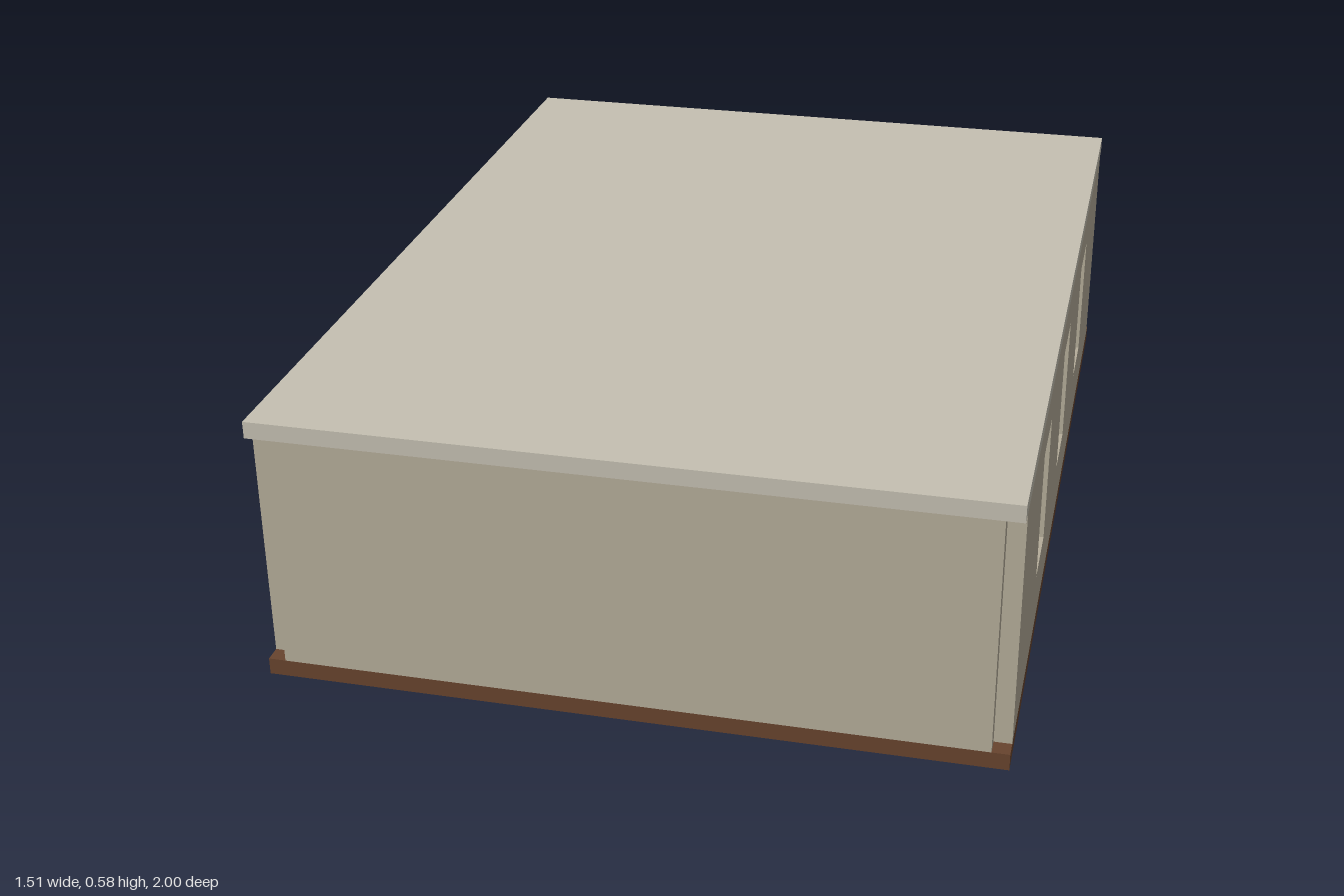
import * as THREE from 'three';

const W = 0.757, L = 1.0;            // half width and half length of the slabs
const T = 0.036;                     // wall and slab thickness
const Y0 = 0.036, Y1 = 0.544, TOP = 0.58;
const WIN = { w: 0.166, y0: 0.173, y1: 0.458, rail: 0.358, z: [-0.482, 0, 0.484] };

const material = (color) => new THREE.MeshStandardMaterial({ color });

function box(name, mat, w, h, d, x, y, z) {
  const mesh = new THREE.Mesh(new THREE.BoxGeometry(w, h, d), mat);
  mesh.name = name;
  mesh.position.set(x, y, z);
  return mesh;
}

// Rectangle from corner (x0, y0) to (x1, y1)
function rect(Type, x0, y0, x1, y1) {
  const p = new Type();
  p.moveTo(x0, y0);
  p.lineTo(x1, y0);
  p.lineTo(x1, y1);
  p.lineTo(x0, y1);
  p.closePath();
  return p;
}

// Long wall with window openings; its outer face is at x = W
function windowWall(mat) {
  const shape = rect(THREE.Shape, -L + T, Y0, L - T, Y1);
  for (const z of WIN.z) {
    shape.holes.push(rect(THREE.Path, -z - WIN.w / 2, WIN.y0, -z + WIN.w / 2, WIN.y1));
  }
  const geo = new THREE.ExtrudeGeometry(shape, { depth: T, bevelEnabled: false });
  geo.rotateY(Math.PI / 2);
  geo.translate(W - T, 0, 0);
  const mesh = new THREE.Mesh(geo, mat);
  mesh.name = 'windowWall';
  return mesh;
}

// Slim frame with a centre mullion and a transom, set at the inner face of the wall
function windowFrame(mat, z) {
  const g = new THREE.Group();
  g.name = 'windowFrame';
  const b = 0.007, d = 0.02, x = W - T - 0.006;
  const h = WIN.y1 - WIN.y0, cy = (WIN.y0 + WIN.y1) / 2;
  for (const s of [-1, 1]) {
    g.add(box('frameJamb', mat, d, h, b, x, cy, z + s * (WIN.w - b) / 2));
    g.add(box('frameRail', mat, d, b, WIN.w, x, cy + s * (h - b) / 2, z));
  }
  g.add(box('mullion', mat, d * 0.8, h, 0.006, x, cy, z));
  g.add(box('transom', mat, d * 0.8, 0.006, WIN.w, x, WIN.rail, z));
  return g;
}

export function createModel() {
  const model = new THREE.Group();
  model.name = 'building';
  const wallMat = material(0xb5ad9a);
  const roofMat = material(0xc5c0b2);
  const floorMat = material(0x68442e);
  const frameMat = material(0x1c1510);

  // Floor and roof slabs
  model.add(box('floor', floorMat, 2 * W, Y0, 2 * L, 0, Y0 / 2, 0));
  model.add(box('roof', roofMat, 2 * W, TOP - Y1, 2 * L, 0, (TOP + Y1) / 2, 0));

  // Plain end walls, stopping short of the corners to leave square notches
  for (const s of [1, -1]) {
    model.add(box(s > 0 ? 'frontWall' : 'backWall', wallMat,
      2 * (W - T), Y1 - Y0, T, 0, (Y0 + Y1) / 2, s * (L - T / 2)));
  }

  // Long sides with three windows each
  for (const s of [1, -1]) {
    const side = new THREE.Group();
    side.name = s > 0 ? 'leftSide' : 'rightSide';
    side.add(windowWall(wallMat));
    for (const z of WIN.z) side.add(windowFrame(frameMat, z));
    // Turning the side half round and reversing z order keeps openings facing each other
    if (s < 0) side.rotation.y = Math.PI;
    model.add(side);
  }
  return model;
}
